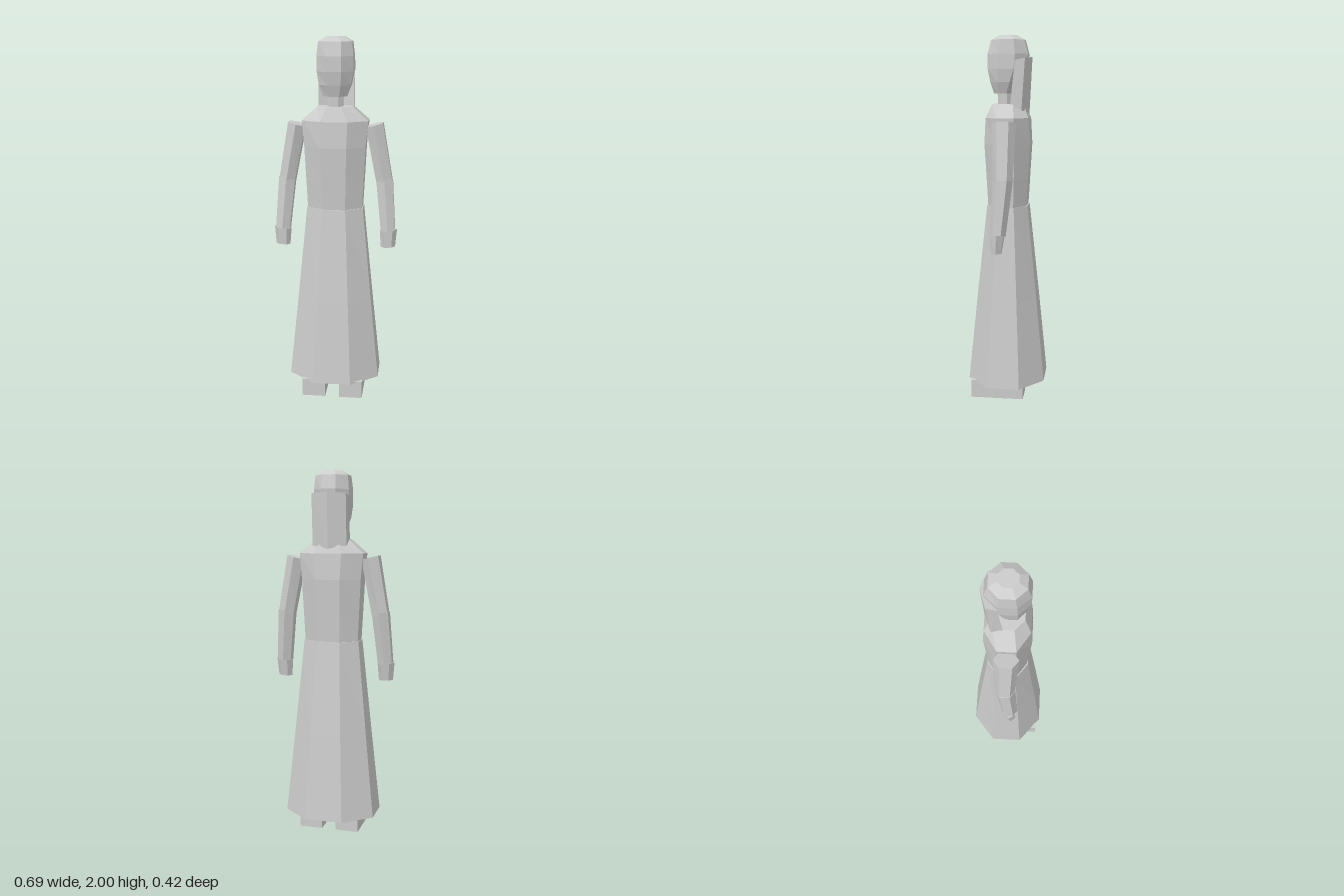
import * as THREE from 'three';

const material = new THREE.MeshStandardMaterial({ color: 0xcccccc, flatShading: true });

function addMesh(parent, name, geometry) {
  const mesh = new THREE.Mesh(geometry, material);
  mesh.name = name;
  parent.add(mesh);
  return mesh;
}

// Capped n-sided loft. Sections go upwards: [y, halfX, halfZ, centreX, centreZ, tilt]
function loft(sides, phase, sections) {
  const unit = [];
  for (let i = 0; i < sides; i++) {
    const a = phase + (i / sides) * Math.PI * 2;
    unit.push([Math.cos(a), Math.sin(a)]);
  }
  const maxX = Math.max(...unit.map((p) => p[0]));
  const maxZ = Math.max(...unit.map((p) => p[1]));
  const positions = [];
  const index = [];
  for (const [y, hx, hz, cx = 0, cz = 0, tilt = 0] of sections) {
    for (const [ux, uz] of unit) {
      const dx = (ux / maxX) * hx;
      positions.push(cx + dx, y + dx * tilt, cz + (uz / maxZ) * hz);
    }
  }
  for (let s = 0; s < sections.length - 1; s++) {
    for (let i = 0; i < sides; i++) {
      const j = (i + 1) % sides;
      const a = s * sides + i, b = s * sides + j;
      index.push(a, a + sides, b + sides, a, b + sides, b);
    }
  }
  const top = (sections.length - 1) * sides;
  for (let i = 1; i < sides - 1; i++) {
    index.push(0, i, i + 1, top, top + i + 1, top + i);
  }
  const geometry = new THREE.BufferGeometry();
  geometry.setAttribute('position', new THREE.Float32BufferAttribute(positions, 3));
  geometry.setIndex(index);
  geometry.computeVertexNormals();
  return geometry;
}

// Hair: a folded slab behind the head, with sloping top and bottom edges
function hairGeometry() {
  const outline = [[-0.098, -0.02], [-0.095, -0.09], [0, -0.13], [0.095, -0.09], [0.098, -0.02], [0, -0.06]];
  const shape = new THREE.Shape(outline.map(([x, z]) => new THREE.Vector2(x, -z)));
  const geometry = new THREE.ExtrudeGeometry(shape, { depth: 1, bevelEnabled: false });
  geometry.rotateX(-Math.PI / 2);
  const p = geometry.attributes.position;
  for (let i = 0; i < p.count; i++) {
    const back = (-0.02 - p.getZ(i)) / 0.11;
    if (p.getY(i) > 0.5) {
      p.setY(i, 1.865 + 0.02 * back);
      p.setZ(i, p.getZ(i) - 0.025 * (1 - back));
    } else {
      p.setY(i, 1.63 - 0.045 * back);
      p.setZ(i, p.getZ(i) + 0.015 * back);
    }
  }
  geometry.computeVertexNormals();
  return geometry;
}

export function createModel() {
  const model = new THREE.Group();
  model.name = 'robedFigure';
  const eighth = Math.PI / 8;

  addMesh(model, 'skirt', loft(8, eighth, [
    [0.09, 0.254, 0.212],
    [0.56, 0.206, 0.166],
    [1.08, 0.155, 0.112],
  ]));

  addMesh(model, 'torso', loft(8, eighth, [
    [1.07, 0.15, 0.105],
    [1.23, 0.158, 0.114],
    [1.42, 0.167, 0.125],
    [1.56, 0.18, 0.117],
    [1.635, 0.095, 0.085],
  ]));

  addMesh(model, 'neck', loft(8, eighth, [
    [1.6, 0.042, 0.038, 0, 0.02],
    [1.72, 0.042, 0.038, 0, 0.02],
  ]));

  addMesh(model, 'head', loft(8, eighth, [
    [1.69, 0.063, 0.05, 0, 0.027],
    [1.75, 0.086, 0.078, 0, 0.018],
    [1.82, 0.098, 0.104, 0, 0.005],
    [1.9, 0.098, 0.11],
    [1.975, 0.09, 0.09],
    [2.0, 0.047, 0.05],
  ]));

  addMesh(model, 'hair', hairGeometry());

  for (const s of [1, -1]) {
    const side = s > 0 ? 'left' : 'right';
    const arm = new THREE.Group();
    arm.name = side + 'Arm';
    model.add(arm);

    // Six-sided sleeve pieces and a tapered hand
    addMesh(arm, side + 'UpperArm', loft(6, Math.PI / 6, [
      [1.225, 0.043, 0.052, s * 0.27, -0.003, s * 0.2],
      [1.537, 0.046, 0.065, s * 0.212, 0, s * 0.24],
    ]));
    addMesh(arm, side + 'Forearm', loft(6, Math.PI / 6, [
      [0.952, 0.039, 0.044, s * 0.295, 0.022, s * 0.1],
      [1.24, 0.045, 0.053, s * 0.27, -0.003, s * 0.1],
    ]));
    addMesh(arm, side + 'Hand', loft(6, 0, [
      [0.859, 0.04, 0.025, s * 0.296, 0.028, s * 0.06],
      [0.956, 0.048, 0.036, s * 0.297, 0.022, s * 0.1],
    ]));

    // Shoes
    const shoe = addMesh(model, side + 'Shoe', new THREE.BoxGeometry(0.13, 0.1, 0.29));
    shoe.position.set(s * 0.105, 0.05, 0.045);
  }
  return model;
}
